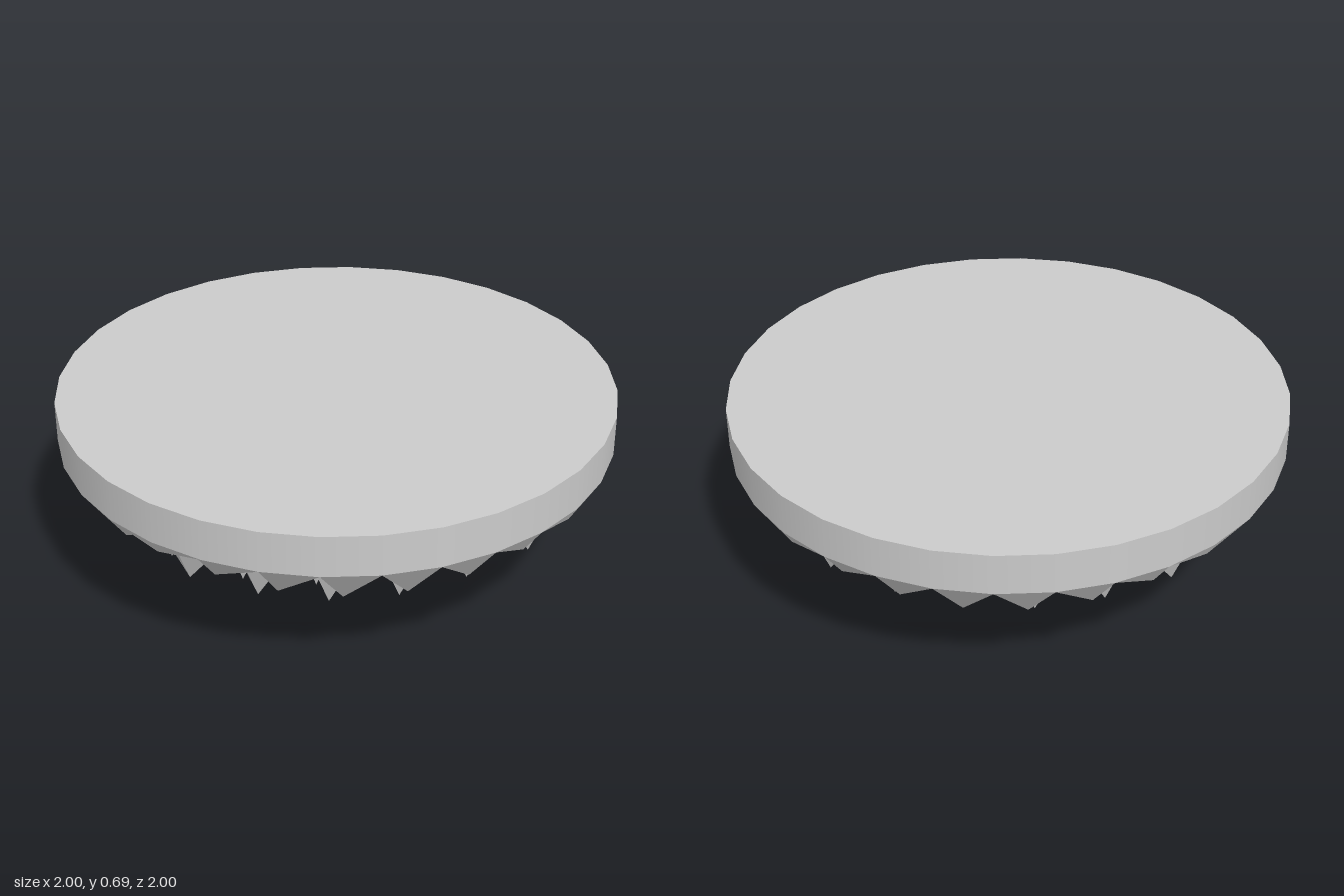
import * as THREE from 'three';

const BASE_Y = 0.54, TOP_Y = 0.69, N = 8;

// Spike length as a function of distance from the axis
const LENGTHS = [[0, 0.54], [0.2, 0.54], [0.43, 0.43], [0.56, 0.39], [0.73, 0.29],
  [0.83, 0.23], [0.945, 0.08], [0.99, 0.03]];

function spikeLength(r) {
  for (let k = 1; k < LENGTHS.length; k++) {
    const [r0, d0] = LENGTHS[k - 1], [r1, d1] = LENGTHS[k];
    if (r <= r1) return THREE.MathUtils.lerp(d0, d1, (r - r0) / (r1 - r0));
  }
  return 0.03;
}

// Node of the diagonal 8 x 8 grid that fills the 32-sided disc
function node(i, j) {
  const a = Math.PI / (2 * N);
  return new THREE.Vector3(Math.sin((i - j) * a), BASE_Y, Math.sin((i + j - N) * a));
}

export function createModel() {
  const group = new THREE.Group();

  // Flat round slab with a smooth rim
  const disc = new THREE.Mesh(
    new THREE.CylinderGeometry(1, 1, TOP_Y - BASE_Y, 32),
    new THREE.MeshStandardMaterial({ color: 0xcccccc })
  );
  disc.name = 'disc';
  disc.position.y = (TOP_Y + BASE_Y) / 2;
  group.add(disc);

  // One four-sided spike hanging from each grid cell
  const points = [];
  for (let i = 0; i < N; i++) {
    for (let j = 0; j < N; j++) {
      const corners = [node(i, j), node(i + 1, j), node(i + 1, j + 1), node(i, j + 1)];
      const tip = new THREE.Vector3();
      corners.forEach((c) => tip.addScaledVector(c, 0.25));
      tip.y = BASE_Y - spikeLength(Math.hypot(tip.x, tip.z));
      corners.forEach((c, k) => points.push(c, corners[(k + 1) % 4], tip));
    }
  }
  const geometry = new THREE.BufferGeometry().setFromPoints(points);
  geometry.computeVertexNormals();
  const spikes = new THREE.Mesh(
    geometry,
    new THREE.MeshStandardMaterial({ color: 0xcccccc, flatShading: true })
  );
  spikes.name = 'spikes';
  group.add(spikes);

  return group;
}
